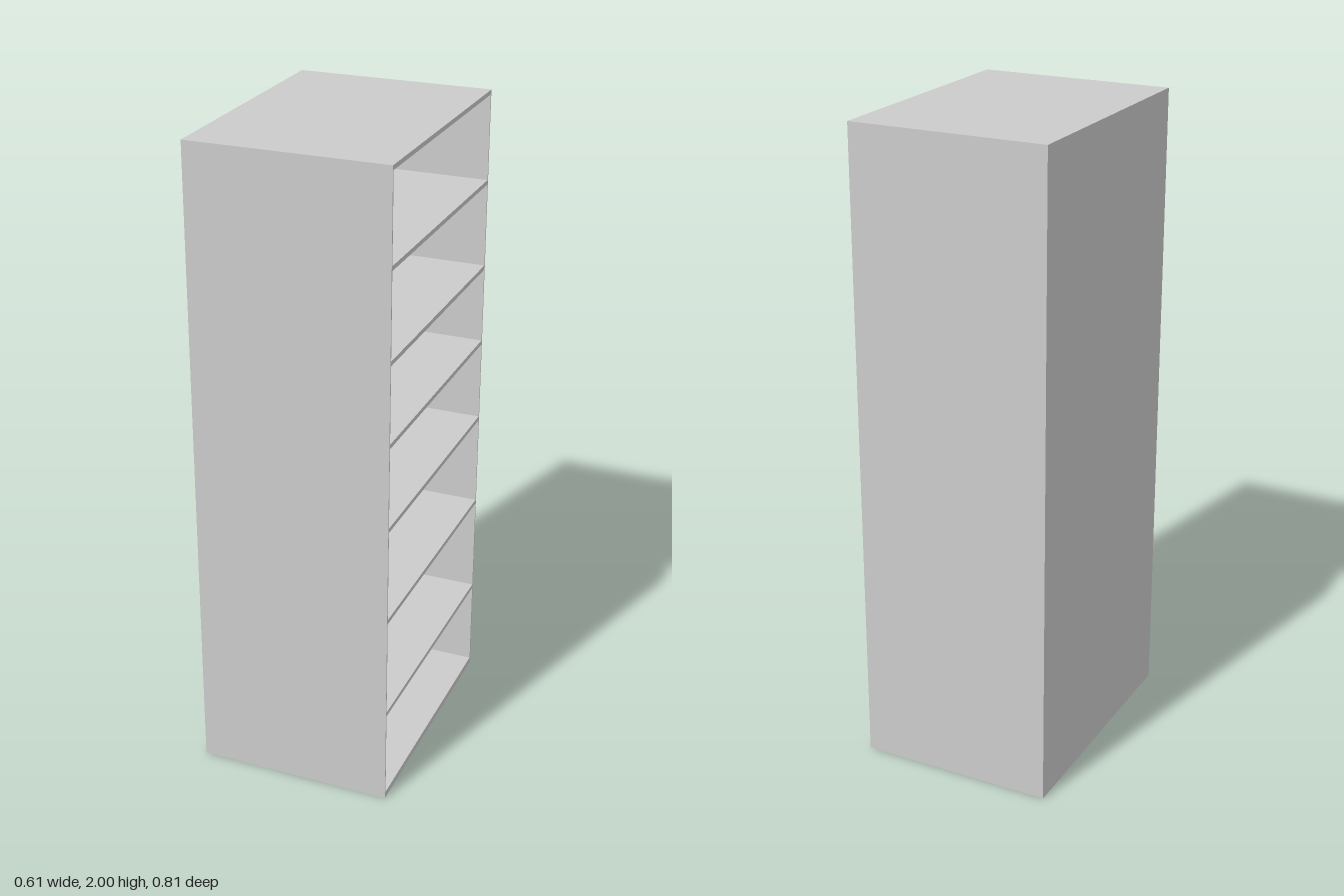
import * as THREE from 'three';

export function createModel() {
  const group = new THREE.Group();
  const material = new THREE.MeshStandardMaterial({ color: 0xcccccc });
  const W = 0.608, H = 2, D = 0.811;
  const wall = 0.005, board = 0.014;

  // Box given by its size and the centre of its underside
  const addBox = (name, w, h, d, x, y, z) => {
    const mesh = new THREE.Mesh(new THREE.BoxGeometry(w, h, d), material);
    mesh.name = name;
    mesh.position.set(x, y + h / 2, z);
    group.add(mesh);
  };

  // Thin walls on three sides; the +x side is open
  addBox('frontPanel', W, H, wall, 0, 0, (D - wall) / 2);
  addBox('backPanel', W, H, wall, 0, 0, -(D - wall) / 2);
  addBox('closedSidePanel', wall, H, D - 2 * wall, -(W - wall) / 2, 0, 0);

  // Boards fill the space between the walls and end flush with the open side
  const addBoard = (name, y, h = board) =>
    addBox(name, W - wall, h, D - 2 * wall, wall / 2, y, 0);
  addBoard('basePanel', 0, 0.02);
  addBoard('topPanel', H - board, board);

  // Shelves, spaced closer together in the upper half
  [0.298, 0.621, 0.924, 1.188, 1.438, 1.711].forEach((y, i) => addBoard(`shelf${i + 1}`, y));

  return group;
}
